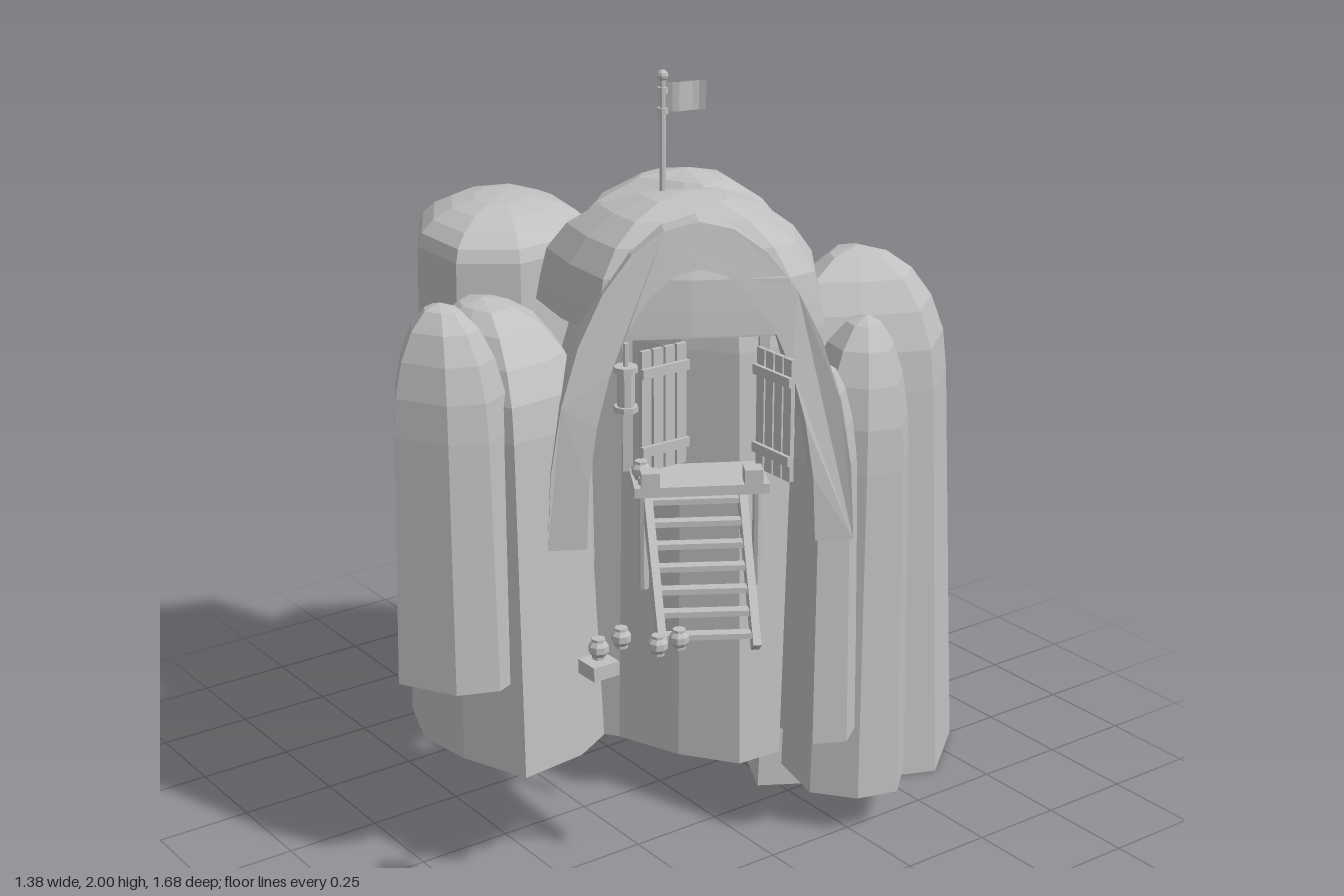
import * as THREE from 'three';

const stone = new THREE.MeshStandardMaterial({ color: 0xc0c0c0, flatShading: true, side: THREE.DoubleSide });
stone.name = 'pale grey';

const V = (x, y, z) => new THREE.Vector3(x, y, z);

function add(parent, name, geometry, x = 0, y = 0, z = 0) {
  const mesh = new THREE.Mesh(geometry, stone);
  mesh.name = name;
  mesh.position.set(x, y, z);
  parent.add(mesh);
  return mesh;
}

const box = (parent, name, w, h, d, x, y, z) => add(parent, name, new THREE.BoxGeometry(w, h, d), x, y, z);
const tube = (parent, name, r, h, x, y, z, sides = 8) =>
  add(parent, name, new THREE.CylinderGeometry(r, r, h, sides), x, y, z);

// Rectangular beam running from a to b
function beam(parent, name, a, b, w, h) {
  const mesh = box(parent, name, w, h, a.distanceTo(b), 0, 0, 0);
  mesh.position.copy(a).add(b).multiplyScalar(0.5);
  mesh.lookAt(b);
  return mesh;
}

// Hollow pillar: outline [x, z] tapering to a shoulder, closed by a faceted dome
function pillar(parent, name, outline, base, shoulder, top, apex, taper) {
  const rings = [[1, base], [taper, shoulder]];
  for (let k = 1; k <= 5; k++) {
    const a = (k / 5) * Math.PI / 2;
    rings.push([taper * Math.cos(a), shoulder + (top - shoulder) * Math.sin(a)]);
  }
  const n = outline.length, pos = [], index = [];
  rings.forEach(([s, y]) => outline.forEach(([x, z]) =>
    pos.push(apex[0] + (x - apex[0]) * s, y, apex[1] + (z - apex[1]) * s)));
  for (let r = 0; r < rings.length - 1; r++) {
    for (let i = 0; i < n; i++) {
      const a = r * n + i, b = r * n + (i + 1) % n;
      index.push(a, a + n, b, b, a + n, b + n);
    }
  }
  const g = new THREE.BufferGeometry();
  g.setAttribute('position', new THREE.Float32BufferAttribute(pos, 3));
  g.setIndex(index);
  g.computeVertexNormals();
  return add(parent, name, g);
}

// Planked door leaf with two cross bars, centred on its own origin
function door(parent, name, x, y, z, angle, width) {
  const leaf = new THREE.Group();
  leaf.name = name;
  const step = width / 4;
  for (let i = 0; i < 4; i++) box(leaf, 'plank', step * 0.82, 0.31, 0.012, (i - 1.5) * step, 0, 0);
  for (const h of [-0.1, 0.1]) box(leaf, 'crossBar', width, 0.025, 0.012, 0, h, 0.01);
  leaf.position.set(x, y, z);
  leaf.rotation.y = angle;
  parent.add(leaf);
}

export function createModel() {
  const model = new THREE.Group();
  model.name = 'rockDwelling';

  // Cluster of rock pillars
  pillar(model, 'leftPillar', [[-0.69, 0.19], [-0.64, 0.02], [-0.46, -0.03], [-0.23, 0.02], [-0.12, 0.17],
    [-0.1, 0.35], [-0.2, 0.49], [-0.41, 0.485], [-0.61, 0.36]], 0.61, 1.5, 1.61, [-0.38, 0.23], 0.93);
  pillar(model, 'largePillar', [[-0.51, -0.15], [-0.39, -0.4], [-0.14, -0.54], [0.08, -0.48], [0.21, -0.33],
    [0.2, -0.12], [0.06, -0.02], [-0.12, 0.05], [-0.34, 0.2], [-0.46, 0.08]], 0.1, 1.25, 1.66, [-0.16, -0.2], 0.92);
  pillar(model, 'backPillar', [[-0.2, -0.57], [-0.13, -0.75], [0.06, -0.79], [0.25, -0.84], [0.4, -0.65],
    [0.31, -0.42], [0.18, -0.2], [-0.02, -0.3]], 0, 1.1, 1.45, [0.1, -0.57], 0.82);
  pillar(model, 'sidePillar', [[0.2, -0.38], [0.34, -0.48], [0.47, -0.47], [0.58, -0.35], [0.55, -0.24],
    [0.45, -0.16], [0.28, -0.2]], 0.11, 1.0, 1.37, [0.39, -0.36], 0.86);
  pillar(model, 'slimPillar', [[0.35, -0.16], [0.41, -0.24], [0.53, -0.24], [0.58, -0.17], [0.54, -0.09],
    [0.42, -0.08]], 0.31, 0.95, 1.3, [0.46, -0.17], 0.88);
  pillar(model, 'frontPillar', [[-0.33, 0.46], [-0.2, 0.3], [0, 0.24], [0.2, 0.32], [0.26, 0.43], [0.28, 0.61],
    [0.1, 0.68], [-0.06, 0.7], [-0.22, 0.64]], 0.32, 1.18, 1.46, [-0.05, 0.5], 0.86);
  pillar(model, 'foremostPillar', [[-0.1, 0.66], [-0.04, 0.58], [0.08, 0.54], [0.21, 0.57], [0.25, 0.66],
    [0.21, 0.76], [0.07, 0.84], [-0.05, 0.77]], 0.56, 1.2, 1.51, [0.07, 0.69], 0.9);

  // Domed roof over the entrance chamber
  pillar(model, 'domeRoof', [[-0.1, 0.31], [-0.08, 0.1], [0.02, -0.12], [0.15, -0.31], [0.34, -0.25],
    [0.5, -0.13], [0.51, -0.04], [0.38, 0.18], [0.24, 0.36], [0.07, 0.35]], 1.41, 1.47, 1.71, [0.19, 0.06], 0.97);

  // Entrance arch, facing out between front and side
  const entrance = new THREE.Group();
  entrance.name = 'entrance';
  entrance.position.set(0.43, 0, 0.185);
  entrance.rotation.y = Math.PI / 3;
  model.add(entrance);
  const shape = new THREE.Shape();
  const curve = (w, h, i) => {
    const a = (i / 14) * Math.PI;
    return [w * Math.cos(a), 0.89 + h * Math.pow(Math.sin(a), 0.95)];
  };
  for (let i = 0; i <= 14; i++) shape[i ? 'lineTo' : 'moveTo'](...curve(0.375, 0.79, i));
  for (let i = 14; i >= 0; i--) shape.lineTo(...curve(0.28, 0.68, i));
  const arch = new THREE.ExtrudeGeometry(shape, { depth: 0.26, bevelEnabled: false });
  const p = arch.attributes.position;
  for (let i = 0; i < p.count; i++) {
    const t = (p.getY(i) - 0.89) / 0.79;
    p.setZ(i, p.getZ(i) - 0.26 - 0.09 * t * t);
  }
  arch.computeVertexNormals();
  add(entrance, 'entranceArch', arch);

  // Timber landing, posts and lintel
  box(entrance, 'landing', 0.33, 0.025, 0.16, 0, 1.035, -0.07);
  for (const x of [-0.14, 0.14]) {
    tube(entrance, 'landingPost', 0.013, 0.29, x, 0.92, -0.02);
    box(entrance, 'doorPost', 0.025, 0.36, 0.025, x * 1.2, 1.22, -0.14);
    box(entrance, 'landingCap', 0.045, 0.04, 0.045, x * 0.9, 1.065, -0.01);
  }
  box(entrance, 'lintel', 0.38, 0.035, 0.03, 0, 1.4, -0.13);
  box(entrance, 'upperLintel', 0.34, 0.03, 0.03, 0, 1.44, -0.16);

  // Open door leaves
  door(model, 'leftDoor', 0.29, 1.21, 0.2, Math.PI / 2, 0.14);
  door(model, 'rightDoor', 0.49, 1.21, 0.01, 0, 0.14);

  // Hanging lantern beside the doorway
  const lantern = new THREE.Group();
  lantern.name = 'lantern';
  lantern.position.set(0.29, 1.28, 0.31);
  tube(lantern, 'lanternBody', 0.022, 0.09, 0, 0, 0);
  for (const y of [-0.05, 0.05]) tube(lantern, 'lanternRim', 0.03, 0.015, 0, y, 0);
  tube(lantern, 'lanternHook', 0.007, 0.07, 0, 0.08, 0);
  model.add(lantern);

  // Ladder down from the landing
  const rails = [[V(0.33, 1.03, 0.28), V(0.55, 0.71, 0.39)], [V(0.45, 1.03, 0.08), V(0.67, 0.71, 0.2)]];
  rails.forEach(([a, b]) => beam(model, 'ladderRail', a, b, 0.02, 0.045));
  for (let i = 0; i < 7; i++) {
    const [a, b] = rails.map(([s, e]) => s.clone().lerp(e, (i + 0.6) / 7.2));
    beam(model, 'ladderRung', a, b, 0.028, 0.014);
  }

  // Small pots leading away from the ladder
  for (const [x, y, z] of [[0.31, 1.07, 0.28], [0.59, 0.75, 0.37], [0.615, 0.765, 0.45], [0.565, 0.785, 0.52], [0.61, 0.8, 0.615]]) {
    add(model, 'pot', new THREE.SphereGeometry(0.025, 8, 5), x, y, z);
    tube(model, 'potRim', 0.016, 0.05, x, y, z);
  }
  box(model, 'potStand', 0.065, 0.035, 0.07, 0.61, 0.752, 0.615);

  // Flagpole with a waving flag
  tube(model, 'flagPole', 0.008, 0.33, 0.13, 1.82, 0.085);
  for (const y of [1.9, 1.95]) tube(model, 'poleRing', 0.014, 0.015, 0.13, y, 0.085);
  add(model, 'poleFinial', new THREE.SphereGeometry(0.014, 8, 6), 0.13, 1.986, 0.085);
  const cloth = new THREE.PlaneGeometry(0.1, 0.072, 6, 1);
  const c = cloth.attributes.position;
  for (let i = 0; i < c.count; i++) c.setZ(i, 0.008 * Math.sin((c.getX(i) + 0.05) * 60));
  cloth.computeVertexNormals();
  add(model, 'flag', cloth, 0.16, 1.935, 0.038).rotation.y = Math.PI / 3;

  return model;
}
